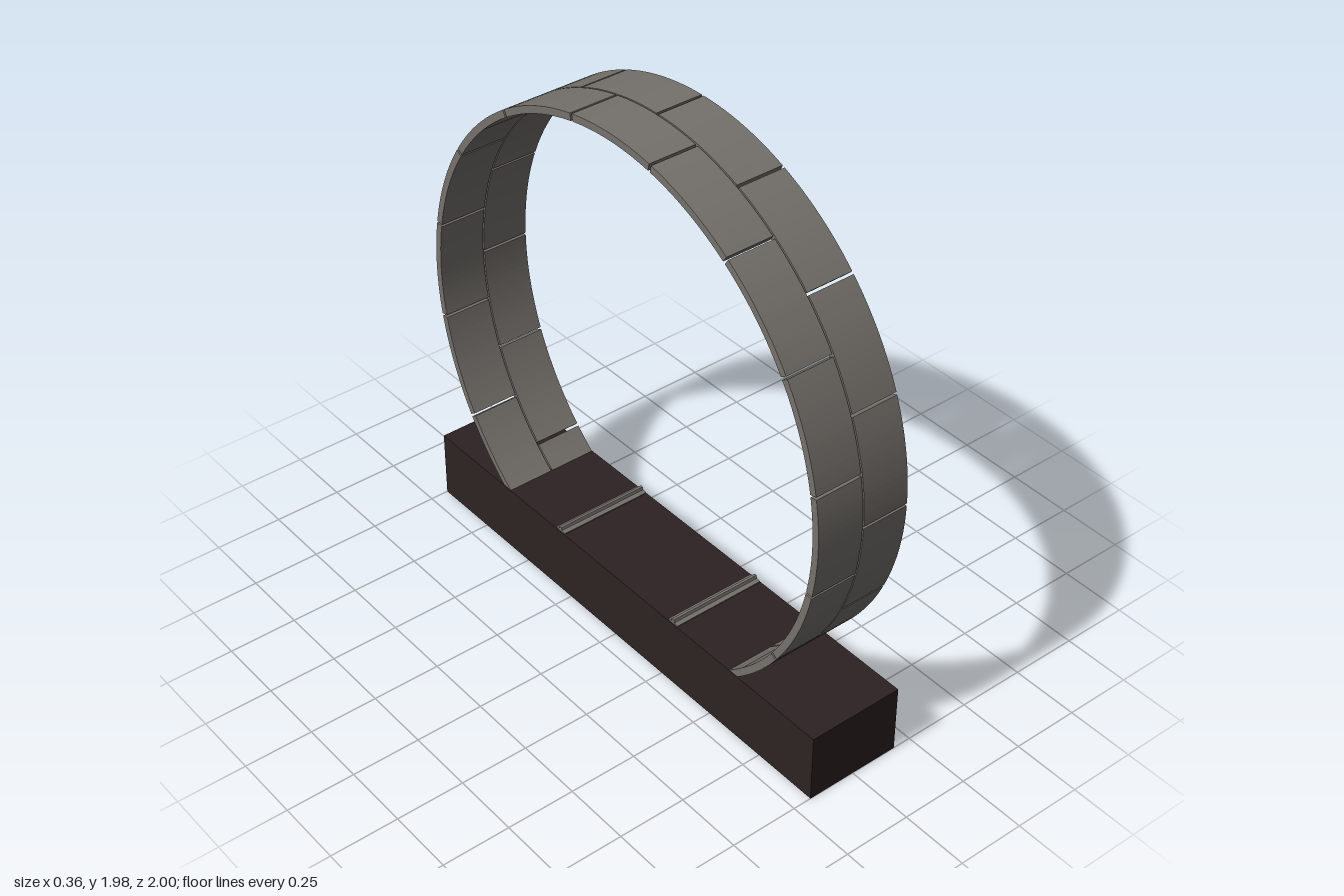
import * as THREE from 'three';

const steel = new THREE.MeshStandardMaterial({ color: 0x75716c });
steel.name = 'steelGrey';
const wood = new THREE.MeshStandardMaterial({ color: 0x2d2223 });
wood.name = 'darkBase';

const CENTER_Y = 1.003, R_OUT = 0.978, R_IN = 0.952;
const BASE_TOP = 0.258, HALF_W = 0.181;

// Extrude a (z, y) profile along x, centred on the given x.
function extrudeAlongX(shape, width, x, curveSegments) {
  const geo = new THREE.ExtrudeGeometry(shape, { depth: width, bevelEnabled: false, curveSegments });
  geo.translate(0, 0, -width / 2);
  geo.rotateY(-Math.PI / 2); // shape x becomes +z
  geo.translate(x, 0, 0);
  return geo;
}

// One curved plate between two angles.
function plateShape(a0, a1) {
  const s = new THREE.Shape();
  s.absarc(0, 0, R_OUT, a0, a1, false);
  s.absarc(0, 0, R_IN, a1, a0, true);
  s.closePath();
  return s;
}

export function createModel() {
  const model = new THREE.Group();
  model.name = 'ringOnBase';
  const add = (parent, name, geo, mat) => {
    const mesh = new THREE.Mesh(geo, mat);
    mesh.name = name;
    parent.add(mesh);
    return mesh;
  };

  // Heavy rectangular base
  const base = add(model, 'base', new THREE.BoxGeometry(HALF_W * 2, BASE_TOP, 2), wood);
  base.position.y = BASE_TOP / 2;

  // Two side-by-side rings of sixteen plates, joints staggered by half a plate
  const step = Math.PI / 8, gap = 0.0048;
  for (const side of [-1, 1]) {
    const band = new THREE.Group();
    band.name = side > 0 ? 'leftBand' : 'rightBand';
    band.position.y = CENTER_Y;
    const offset = side > 0 ? 0 : step / 2;
    for (let i = 0; i < 16; i++) {
      const a0 = i * step + offset, a1 = a0 + step;
      const highest = CENTER_Y + R_OUT * Math.max(Math.sin(a0), Math.sin(a1));
      if (highest < BASE_TOP) continue; // buried in the base
      const geo = extrudeAlongX(plateShape(a0 + gap, a1 - gap), 0.177, side * 0.091, 8);
      add(band, 'ringPlate', geo, steel);
    }
    model.add(band);
  }

  // Low cross rails on top of the base: a flange with a raised lip
  for (const end of [-1, 1]) {
    const rail = new THREE.Shape();
    [[-0.024, -0.01], [0.024, -0.01], [0.024, 0.004], [0.008, 0.007],
      [0.005, 0.018], [-0.005, 0.018], [-0.008, 0.007], [-0.024, 0.004]]
      .forEach(([z, y], i) => (i ? rail.lineTo(z, y) : rail.moveTo(z, y)));
    rail.closePath();
    const mesh = add(model, 'crossRail', extrudeAlongX(rail, 0.358, 0, 1), steel);
    mesh.position.set(0, BASE_TOP, end * 0.305);
  }

  // Thin inlay on the left side of the base: two rounded pads meeting at a pinch
  const inlay = new THREE.Shape();
  inlay.moveTo(0.06, 0.188);
  inlay.quadraticCurveTo(0.06, 0.208, 0.03, 0.209);
  inlay.lineTo(-0.04, 0.208);
  inlay.quadraticCurveTo(-0.075, 0.206, -0.1, 0.196);
  inlay.quadraticCurveTo(-0.125, 0.21, -0.15, 0.21);
  inlay.lineTo(-0.23, 0.209);
  inlay.quadraticCurveTo(-0.25, 0.205, -0.25, 0.195);
  inlay.quadraticCurveTo(-0.25, 0.182, -0.225, 0.18);
  inlay.lineTo(-0.15, 0.18);
  inlay.quadraticCurveTo(-0.125, 0.183, -0.1, 0.192);
  inlay.quadraticCurveTo(-0.075, 0.184, -0.04, 0.183);
  inlay.lineTo(0.04, 0.179);
  inlay.quadraticCurveTo(0.058, 0.18, 0.06, 0.188);
  add(model, 'sideInlay', extrudeAlongX(inlay, 0.004, HALF_W, 4), steel);

  return model;
}
